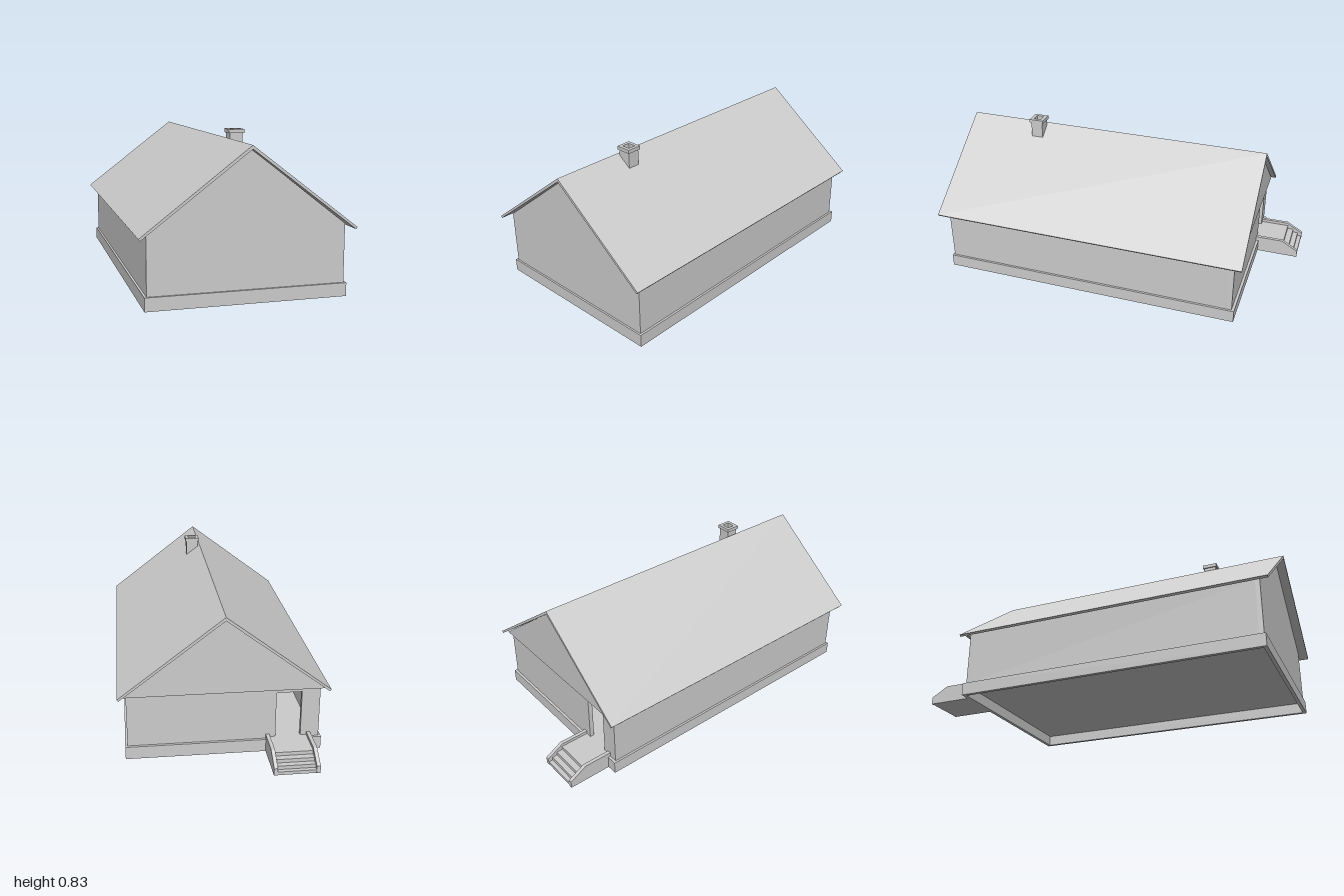
import * as THREE from 'three';

const material = new THREE.MeshStandardMaterial({ color: 0xcccccc, flatShading: true, side: THREE.DoubleSide });

const polygon = (pts) => new THREE.Shape(pts.map(([x, y]) => new THREE.Vector2(x, y)));
const rect = (x0, x1, y0, y1) => [[x0, y0], [x1, y0], [x1, y1], [x0, y1]];

export function createModel() {
  const house = new THREE.Group();
  house.name = 'house';

  const add = (name, geometry) => {
    const mesh = new THREE.Mesh(geometry, material);
    mesh.name = name;
    house.add(mesh);
  };
  const box = (name, x0, x1, y0, y1, z0, z1) =>
    add(name, new THREE.BoxGeometry(x1 - x0, y1 - y0, z1 - z0)
      .translate((x0 + x1) / 2, (y0 + y1) / 2, (z0 + z1) / 2));
  // outline in x, y pushed from z0 to z1
  const alongZ = (name, outline, z0, z1, hole) => {
    const shape = polygon(outline);
    if (hole) shape.holes.push(polygon(hole));
    add(name, new THREE.ExtrudeGeometry(shape, { depth: z1 - z0, bevelEnabled: false }).translate(0, 0, z0));
  };
  // outline in z, y pushed from x0 to x1
  const alongX = (name, outline, x0, x1) =>
    add(name, new THREE.ExtrudeGeometry(polygon(outline), { depth: x1 - x0, bevelEnabled: false })
      .rotateY(-Math.PI / 2).translate(x1, 0, 0));
  // square ring in plan from y0 to y1, hollow inside
  const ring = (name, x0, x1, z0, z1, y0, y1, wall) => {
    const shape = polygon(rect(x0, x1, -z1, -z0));
    shape.holes.push(polygon(rect(x0 + wall, x1 - wall, -z1 + wall, -z0 - wall)));
    add(name, new THREE.ExtrudeGeometry(shape, { depth: y1 - y0, bevelEnabled: false })
      .rotateX(-Math.PI / 2).translate(0, y0, 0));
  };

  // Hollow foundation and the floor set into it
  ring('foundation', -0.52, 0.52, -0.76, 0.96, 0, 0.07, 0.02);
  box('floor', -0.5, 0.5, 0.06, 0.075, -0.74, 0.94);

  // Walls: two gable ends, the rear one with the doorway, and two long sides
  const gable = [[-0.508, 0.07], [0.508, 0.07], [0.508, 0.375], [0, 0.768], [-0.508, 0.375]];
  alongZ('frontWall', gable, 0.925, 0.95);
  alongZ('backWall', gable, -0.745, -0.72, rect(-0.41, -0.275, 0.078, 0.335));
  for (const s of [-1, 1]) {
    const [a, b] = [s * 0.508, s * 0.483].sort((p, q) => p - q);
    box('sideWall', a, b, 0.07, 0.375, -0.72, 0.925);
  }

  // Rear gable panel standing slightly proud of the wall
  alongZ('rearGablePanel', [[-0.53, 0.358], [0.53, 0.358], [0, 0.768]], -0.763, -0.745);

  // Roof: one folded slab
  alongZ('roof', [[0, 0.785], [-0.553, 0.363], [-0.545, 0.353], [0, 0.766], [0.545, 0.353], [0.553, 0.363]],
    -0.79, 1);

  // Chimney with an open, wider cap
  ring('chimney', 0.012, 0.083, 0.524, 0.592, 0.66, 0.812, 0.012);
  ring('chimneyCap', 0.005, 0.09, 0.517, 0.599, 0.81, 0.83, 0.019);

  // Rear steps between two sloped side walls
  alongX('steps', [[-0.745, 0], [-0.745, 0.078], [-0.91, 0.078], [-0.91, 0.058], [-0.945, 0.058],
    [-0.945, 0.038], [-0.975, 0.038], [-0.975, 0.018], [-0.998, 0.018], [-0.998, 0]], -0.442, -0.242);
  for (const x of [-0.462, -0.242]) {
    alongX('stepSideWall', [[-0.745, 0], [-0.745, 0.095], [-0.905, 0.095], [-1, 0.04], [-1, 0]], x, x + 0.02);
  }

  return house;
}
